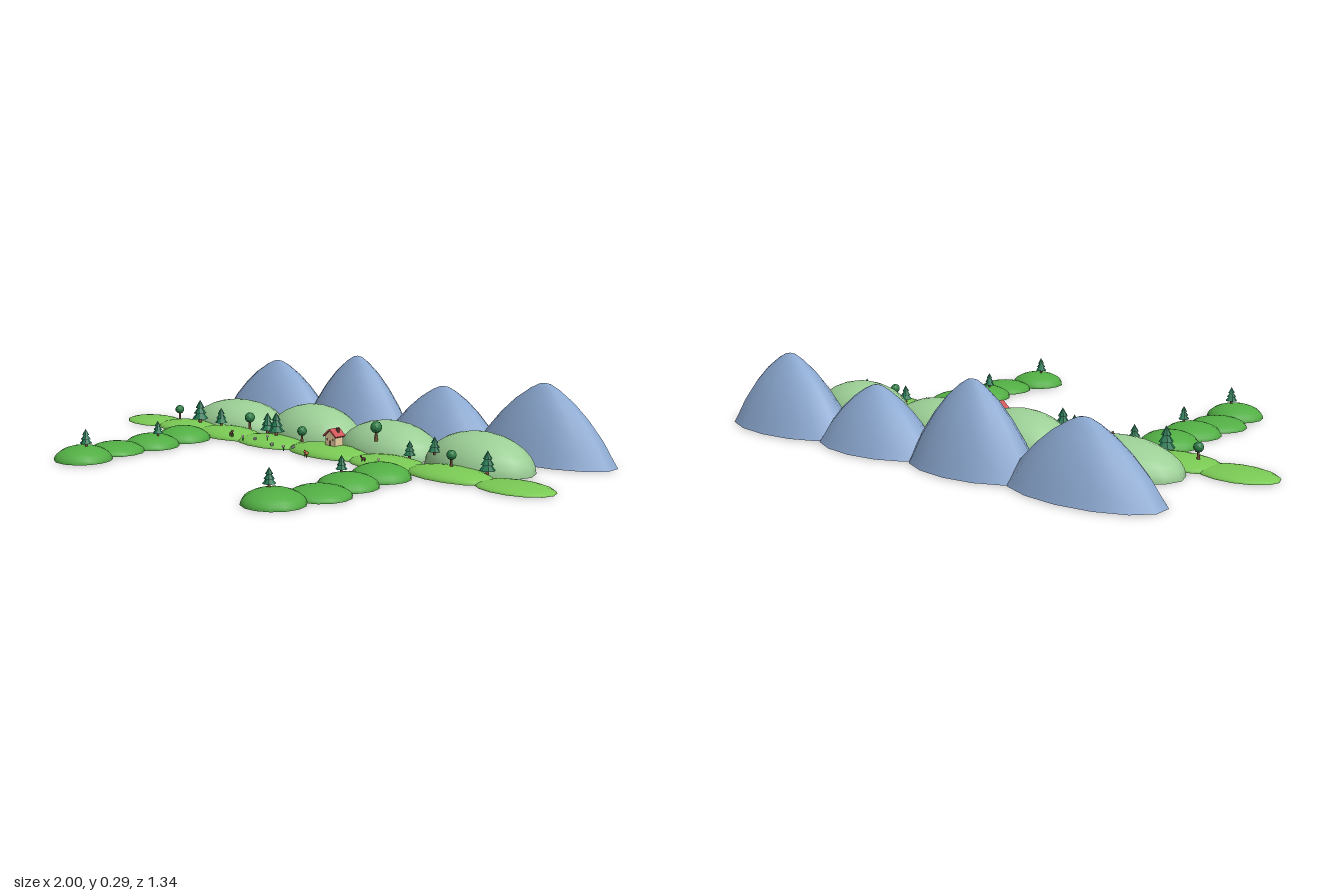
import * as THREE from 'three';

const mat = (color, flat = false) => new THREE.MeshStandardMaterial({ color, flatShading: flat, side: THREE.DoubleSide });
const M = {
  mountain: mat(0x8ba8d0), farHill: mat(0x9ccf96), meadow: mat(0x7bcb55), mound: mat(0x52ae44),
  pine: mat(0x1f7450, true), leaf: mat(0x2f8048, true), trunk: mat(0x7a5236),
  wall: mat(0xe8cf9f), roof: mat(0xd0565a), dark: mat(0x6b4a3a), fur: mat(0xc87646), stone: mat(0xa8adb2), petal: mat(0xe6c9d8),
};

function add(parent, name, geometry, material, x = 0, y = 0, z = 0) {
  const m = new THREE.Mesh(geometry, material);
  m.name = name;
  m.position.set(x, y, z);
  parent.add(m);
  return m;
}

// [x, z, half width, height, half depth]
const mountains = [[-0.61, 0.28, 0.23], [-0.18, 0.25, 0.285], [0.24, 0.25, 0.21], [0.67, 0.28, 0.265]]
  .map(([x, w, h]) => [x, -0.535, w, h, 0.14]);
const farHills = [[-0.54, 0.225, 0.105], [-0.14, 0.205, 0.132], [0.22, 0.205, 0.115], [0.605, 0.205, 0.125]]
  .map(([x, w, h]) => [x, -0.253, w, h, 0.137]);
const meadows = [[-0.86, 0.14, 0.022], [-0.65, 0.16, 0.03], [-0.43, 0.16, 0.034], [-0.2, 0.16, 0.03],
  [0.08, 0.18, 0.036], [0.35, 0.16, 0.03], [0.61, 0.17, 0.034], [0.86, 0.14, 0.022]]
  .map(([x, w, h], i) => [x, -0.085, w, h, i % 2 ? 0.094 : 0.09]);
const mounds = [[-0.5, 0.085, 0.05], [-0.485, 0.25, 0.045], [-0.495, 0.405, 0.036], [-0.467, 0.57, 0.05],
  [0.46, 0.085, 0.05], [0.465, 0.25, 0.045], [0.49, 0.405, 0.036], [0.456, 0.57, 0.05]]
  .map(([x, z, h]) => [x, z, 0.102, h, 0.1]);

// Height of the walkable ground at a point
function groundAt(x, z) {
  let y = 0;
  for (const [cx, cz, w, h, d] of [...meadows, ...mounds, ...farHills]) {
    const q = 1 - ((x - cx) / w) ** 2 - ((z - cz) / d) ** 2;
    if (q > 0) y = Math.max(y, h * Math.sqrt(q));
  }
  return y;
}

function addRange(root, name, list, geometry, material) {
  const g = new THREE.Group();
  g.name = name + 's';
  list.forEach(([x, z, w, h, d]) => add(g, name, geometry, material, x, 0, z).scale.set(w, h, d));
  root.add(g);
}

function place(root, name, x, z, scale = 1) {
  const g = new THREE.Group();
  g.name = name;
  g.position.set(x, groundAt(x, z) - 0.002, z);
  g.scale.setScalar(scale);
  root.add(g);
  return g;
}

// Unit-height conifer: trunk and three stacked cones
function pine(root, x, z, height) {
  const g = place(root, 'pineTree', x, z, height);
  add(g, 'trunk', new THREE.CylinderGeometry(0.06, 0.08, 0.3, 6), M.trunk, 0, 0.15, 0);
  [[0.34, 0.42, 0.4], [0.27, 0.38, 0.61], [0.19, 0.34, 0.83]].forEach(([r, h, y]) =>
    add(g, 'boughs', new THREE.ConeGeometry(r, h, 8), M.pine, 0, y, 0));
}

// Unit-height leafy tree: trunk and faceted crown
function roundTree(root, x, z, height) {
  const g = place(root, 'leafyTree', x, z, height);
  add(g, 'trunk', new THREE.CylinderGeometry(0.06, 0.09, 0.5, 6), M.trunk, 0, 0.25, 0);
  add(g, 'crown', new THREE.IcosahedronGeometry(0.3, 1), M.leaf, 0, 0.7, 0);
}

function house(root) {
  const g = place(root, 'cottage', 0.102, -0.088);
  const gable = new THREE.Shape();
  [[-0.022, -0.015], [0.022, -0.015], [0.022, 0.036], [0, 0.055], [-0.022, 0.036]]
    .forEach(([x, y], i) => (i ? gable.lineTo(x, y) : gable.moveTo(x, y)));
  add(g, 'walls', new THREE.ExtrudeGeometry(gable, { depth: 0.042, bevelEnabled: false }), M.wall, 0, 0, -0.021);
  for (const s of [-1, 1]) {
    add(g, 'roofSlope', new THREE.BoxGeometry(0.039, 0.005, 0.052), M.roof, s * 0.0145, 0.046, 0).rotation.z = -s * 0.71;
    add(g, 'window', new THREE.BoxGeometry(0.008, 0.008, 0.002), M.dark, s * 0.013, 0.023, 0.021);
  }
  add(g, 'door', new THREE.BoxGeometry(0.01, 0.02, 0.002), M.dark, 0, 0.01, 0.021);
  add(g, 'chimney', new THREE.BoxGeometry(0.008, 0.022, 0.008), M.dark, 0.013, 0.052, -0.004);
}

// Small four-legged animal facing +z
function animal(root, x, z, turn, material, size) {
  const g = place(root, 'animal', x, z, size);
  g.rotation.y = turn;
  add(g, 'body', new THREE.SphereGeometry(0.4, 8, 6), material, 0, 0.55, 0).scale.set(0.6, 0.55, 1);
  add(g, 'head', new THREE.SphereGeometry(0.19, 8, 6), material, 0, 0.85, 0.42);
  for (const s of [-1, 1]) {
    add(g, 'ear', new THREE.ConeGeometry(0.07, 0.2, 5), material, s * 0.1, 1.05, 0.4);
    for (const f of [-0.25, 0.25])
      add(g, 'leg', new THREE.CylinderGeometry(0.06, 0.06, 0.45, 5), M.dark, s * 0.13, 0.22, f);
  }
}

export function createModel() {
  const root = new THREE.Group();
  root.name = 'landscape';

  // Landforms: open unit shells stretched to size
  const peak = [[1, 0], [0.94, 0.09], [0.8, 0.32], [0.6, 0.57], [0.4, 0.77], [0.2, 0.92], [0.08, 0.985], [0, 1]]
    .map(([r, y]) => new THREE.Vector2(r, y));
  const dome = new THREE.SphereGeometry(1, 14, 7, 0, Math.PI * 2, 0, Math.PI / 2);
  addRange(root, 'mountain', mountains, new THREE.LatheGeometry(peak, 14), M.mountain);
  addRange(root, 'farHill', farHills, dome, M.farHill);
  addRange(root, 'meadowHill', meadows, dome, M.meadow);
  addRange(root, 'mound', mounds, dome, M.mound);

  // Trees
  [[-0.6, -0.09, 0.09], [-0.475, -0.085, 0.07], [-0.255, -0.115, 0.08], [-0.19, -0.095, 0.088],
    [0.39, -0.15, 0.062], [0.495, -0.15, 0.062], [0.73, -0.12, 0.08], [-0.45, 0.25, 0.056],
    [-0.45, 0.57, 0.062], [0.438, 0.25, 0.056], [0.438, 0.57, 0.062]].forEach((t) => pine(root, ...t));
  [[-0.72, -0.09, 0.058], [-0.37, -0.135, 0.066], [-0.055, -0.09, 0.06], [0.25, -0.14, 0.07], [0.61, -0.09, 0.056]]
    .forEach((t) => roundTree(root, ...t));

  house(root);

  // Creatures and details along the front edge
  animal(root, 0.057, 0.005, 0.2, M.fur, 0.026);
  animal(root, -0.35, -0.02, 1.2, M.dark, 0.026);
  animal(root, 0.3, -0.015, -1.2, M.dark, 0.02);
  [-0.28, -0.225, -0.17, -0.13, -0.08, -0.04, 0.37].forEach((x, i) => {
    const g = place(root, i % 2 ? 'stone' : 'flower', x, -0.012 - (i % 3) * 0.008);
    if (i % 2) add(g, 'rock', new THREE.DodecahedronGeometry(0.007), M.stone, 0, 0.004, 0);
    else {
      add(g, 'stem', new THREE.CylinderGeometry(0.0015, 0.0015, 0.016, 5), M.leaf, 0, 0.008, 0);
      add(g, 'blossom', new THREE.SphereGeometry(0.005, 6, 5), M.petal, 0, 0.017, 0);
    }
  });
  return root;
}
